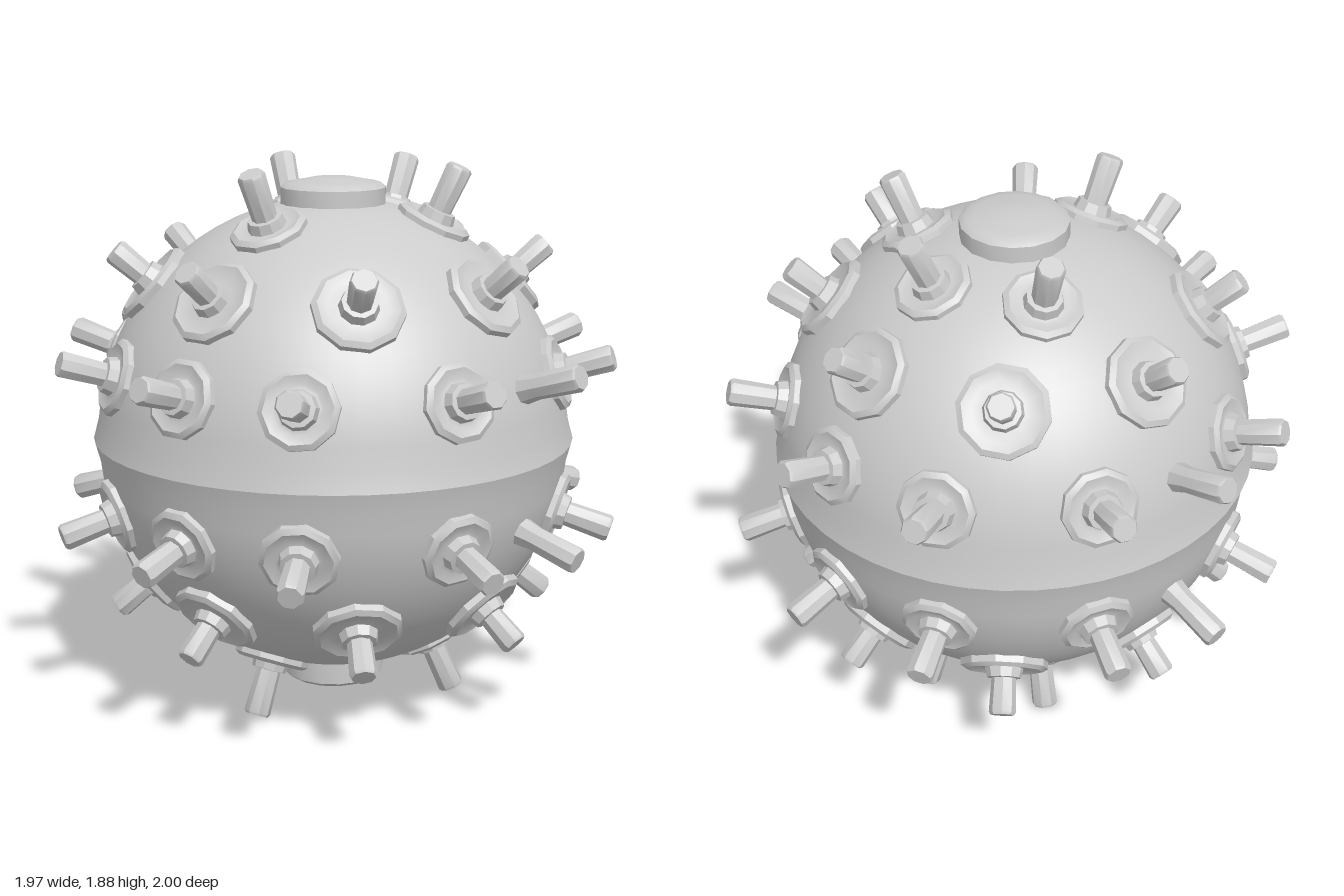
import * as THREE from 'three';
import { toCreasedNormals } from 'three/addons/utils/BufferGeometryUtils.js';

const CENTER_Y = 0.945;
const R = 0.815;
const UP = new THREE.Vector3(0, 1, 0);
const rad = THREE.MathUtils.degToRad;

const material = new THREE.MeshStandardMaterial({ color: 0xcccccc });

function lathe(points, sides, crease = 0.6) {
  const profile = points.map(([x, y]) => new THREE.Vector2(x, y));
  return toCreasedNormals(new THREE.LatheGeometry(profile, sides), crease);
}

function mesh(name, geometry) {
  const m = new THREE.Mesh(geometry, material);
  m.name = name;
  return m;
}

// Two hemispheres meeting at a thin raised seam
function bodyGeometry() {
  const points = [];
  for (let a = -90; a <= 90; a += 5) {
    const r = a === 0 ? R + 0.016 : R;
    points.push([Math.max(0, r * Math.cos(rad(a))), r * Math.sin(rad(a))]);
  }
  return lathe(points, 48, 0.5);
}

// Shallow dished flange with a boss in the middle, heights measured from the sphere centre
function flangeGeometry(radius) {
  return lathe([
    [radius, R - 0.05], [radius, R + 0.008], [radius - 0.018, R + 0.02],
    [radius - 0.05, R + 0.01], [0.066, R + 0.012], [0.058, R + 0.045], [0, R + 0.05],
  ], 10);
}

// Blunt prong, slightly waisted above its foot
function prongGeometry(tip) {
  return lathe([
    [0.055, R - 0.04], [0.042, R + 0.05], [0.046, tip - 0.01], [0.04, tip], [0, tip],
  ], 8);
}

// Prong, with an optional flange, pointing along an azimuth (0 = front, 90 = left) and elevation
function makeHorn(azimuth, elevation, tip, flangeRadius) {
  const horn = new THREE.Group();
  horn.name = 'horn';
  horn.add(mesh('prong', prongGeometry(tip)));
  if (flangeRadius) horn.add(mesh('flange', flangeGeometry(flangeRadius)));
  const a = rad(azimuth), e = rad(elevation);
  const dir = new THREE.Vector3(
    Math.sin(a) * Math.cos(e), Math.sin(e), Math.cos(a) * Math.cos(e));
  horn.quaternion.setFromUnitVectors(UP, dir);
  return horn;
}

// Low domed cap for each pole
function capGeometry(height) {
  return lathe([
    [0.18, R - 0.06], [0.18, height - 0.035], [0.16, height - 0.02],
    [0.13, height - 0.015], [0.07, height - 0.003], [0, height],
  ], 16);
}

export function createModel() {
  const model = new THREE.Group();
  model.name = 'spikedSphere';
  const ball = new THREE.Group();
  ball.name = 'ball';
  ball.position.y = CENTER_Y;
  model.add(ball);

  ball.add(mesh('body', bodyGeometry()));

  // Rings of horns, mirrored above and below the seam
  const nearSeam = [0, 22, 60, 90, 120, 158, 180, 202, 240, 270, 300, 338];
  const nearPole = [90, 27, 153, 270];
  for (const side of [1, -1]) {
    const low = side < 0;
    for (const az of nearSeam) {
      const bare = az % 180 === 0;
      ball.add(makeHorn(az, low ? -16 : 18, bare ? 1.03 : 1.015, bare ? 0 : 0.13));
    }
    for (let az = 0; az < 360; az += 45) {
      ball.add(makeHorn(az, low ? -39 : 41, 0.985, 0.15));
    }
    for (const az of nearPole) {
      ball.add(makeHorn(az, side * 65, 1.02, 0.13));
    }

    // Pole cap
    const cap = mesh(low ? 'bottomCap' : 'topCap', capGeometry(low ? 0.915 : 0.885));
    if (low) cap.rotation.x = Math.PI;
    ball.add(cap);
  }
  return model;
}
